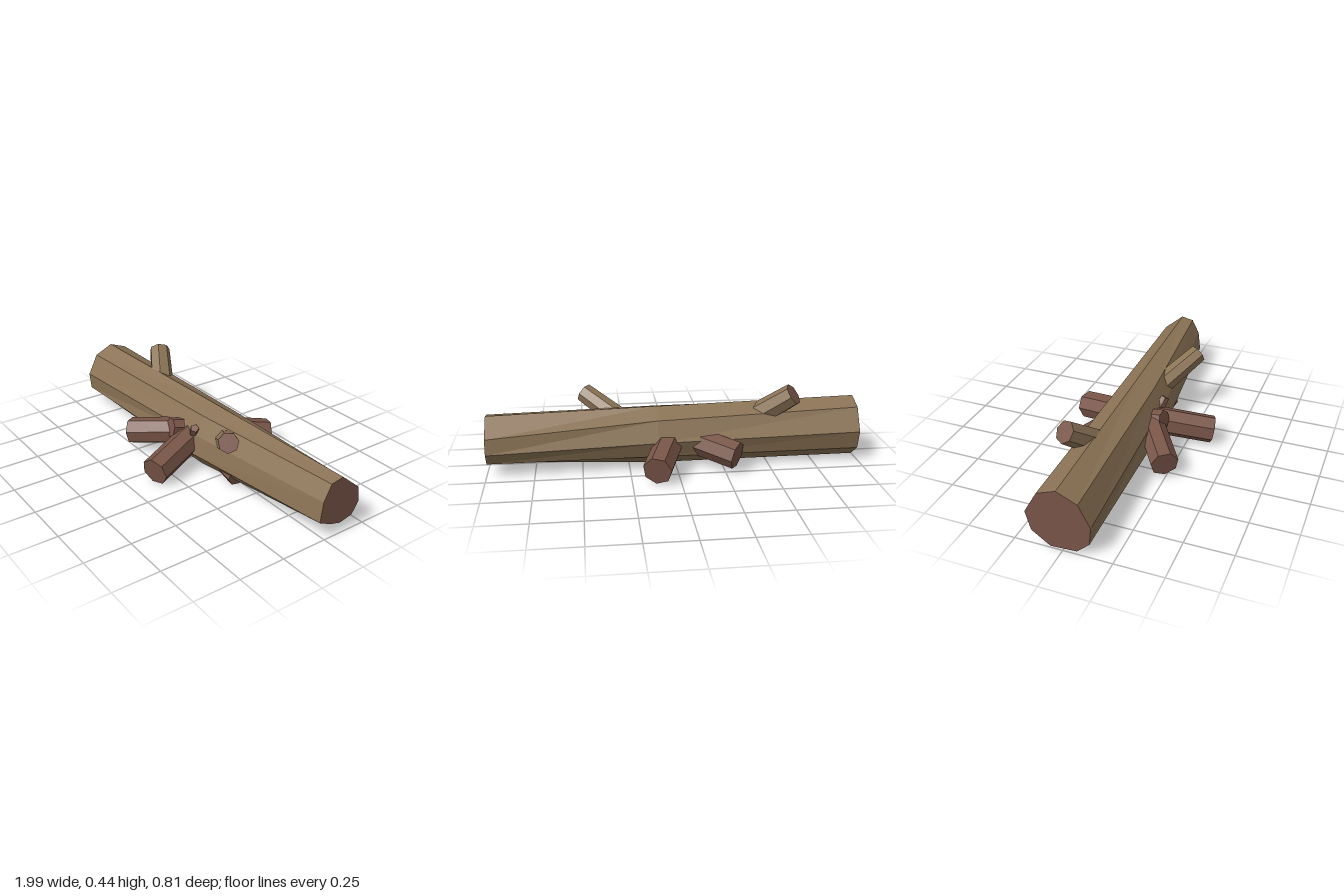
import * as THREE from 'three';

const bark = new THREE.MeshStandardMaterial({ color: 0x8b7355, flatShading: true });
bark.name = 'bark brown';
const wood = new THREE.MeshStandardMaterial({ color: 0x795548, flatShading: true });
wood.name = 'red brown wood';

// Cross-sections of the trunk as [z, y], running from the top over the front
const sections = [
  { x: -0.995, ring: [[-0.02, 0.338], [0.085, 0.29], [0.144, 0.175], [0.135, 0.08], [0.07, 0.02], [-0.065, 0.012], [-0.16, 0.08], [-0.187, 0.18], [-0.12, 0.3]] },
  { x: 0.1, ring: [[-0.06, 0.327], [0.045, 0.297], [0.1, 0.2], [0.122, 0.095], [0.06, 0.018], [-0.07, 0.01], [-0.17, 0.08], [-0.2, 0.165], [-0.155, 0.275]] },
  { x: 0.995, ring: [[-0.095, 0.316], [-0.025, 0.302], [0.018, 0.22], [0.032, 0.112], [-0.035, 0.08], [-0.1, 0.062], [-0.176, 0.08], [-0.215, 0.142], [-0.204, 0.224]] },
];

function makeTrunk() {
  const pos = [], sides = [], left = [], right = [];
  const n = sections[0].ring.length;
  for (const s of sections) for (const [z, y] of s.ring) pos.push(s.x, y, z);
  for (let i = 0; i < sections.length - 1; i++) {
    for (let k = 0; k < n; k++) {
      const a = i * n + k, b = i * n + (k + 1) % n;
      sides.push(a, b, a + n, b, b + n, a + n);
    }
  }
  // Sawn ends
  const last = (sections.length - 1) * n;
  for (let k = 1; k < n - 1; k++) {
    left.push(0, k + 1, k);
    right.push(last, last + k, last + k + 1);
  }
  const g = new THREE.BufferGeometry();
  g.setAttribute('position', new THREE.Float32BufferAttribute(pos, 3));
  g.setIndex([...sides, ...left, ...right]);
  g.addGroup(0, sides.length, 0);
  g.addGroup(sides.length, left.length + right.length, 1);
  g.computeVertexNormals();
  const mesh = new THREE.Mesh(g, [bark, wood]);
  mesh.name = 'trunk';
  return mesh;
}

// Straight limb with a sawn end, running from base to tip
function makeLimb(name, base, tip, baseRadius, tipRadius, skin, sides = 7) {
  const a = new THREE.Vector3(...base), b = new THREE.Vector3(...tip);
  const dir = b.clone().sub(a);
  const g = new THREE.CylinderGeometry(tipRadius, baseRadius, dir.length(), sides);
  const mesh = new THREE.Mesh(g, [skin, wood, wood]);
  mesh.name = name;
  mesh.position.copy(a).add(b).multiplyScalar(0.5);
  mesh.quaternion.setFromUnitVectors(new THREE.Vector3(0, 1, 0), dir.normalize());
  return mesh;
}

export function createModel() {
  const group = new THREE.Group();
  group.name = 'log';
  group.add(makeTrunk());

  // Bark covered branch stubs
  group.add(makeLimb('frontBranch', [0.24, 0.2, 0], [0.48, 0.347, 0.172], 0.062, 0.053, bark));
  group.add(makeLimb('backBranch', [-0.43, 0.235, -0.04], [-0.625, 0.395, -0.15], 0.068, 0.06, bark));

  // Low side limbs, mirrored front to back
  for (const [side, s] of [['front', 1], ['back', -1]]) {
    group.add(makeLimb(side + 'MainLimb', [0.0, 0.155, 0.02 * s], [0.125, 0.083, 0.377 * s], 0.078, 0.077, wood));
    group.add(makeLimb(side + 'LeaningLimb', [0.0, 0.17, 0.04 * s], [-0.31, 0.1, 0.25 * s], 0.075, 0.075, wood));
  }

  // Short stubs just breaking the surface
  group.add(makeLimb('shortStub', [-0.03, 0.17, 0.02], [-0.055, 0.2, 0.155], 0.055, 0.053, wood));
  group.add(makeLimb('splinter', [0.03, 0.13, 0.06], [0.1, 0.245, 0.105], 0.035, 0.024, wood, 5));
  group.add(makeLimb('lowStub', [0.05, 0.12, 0.0], [0.385, 0.063, 0.035], 0.06, 0.055, wood));
  return group;
}
